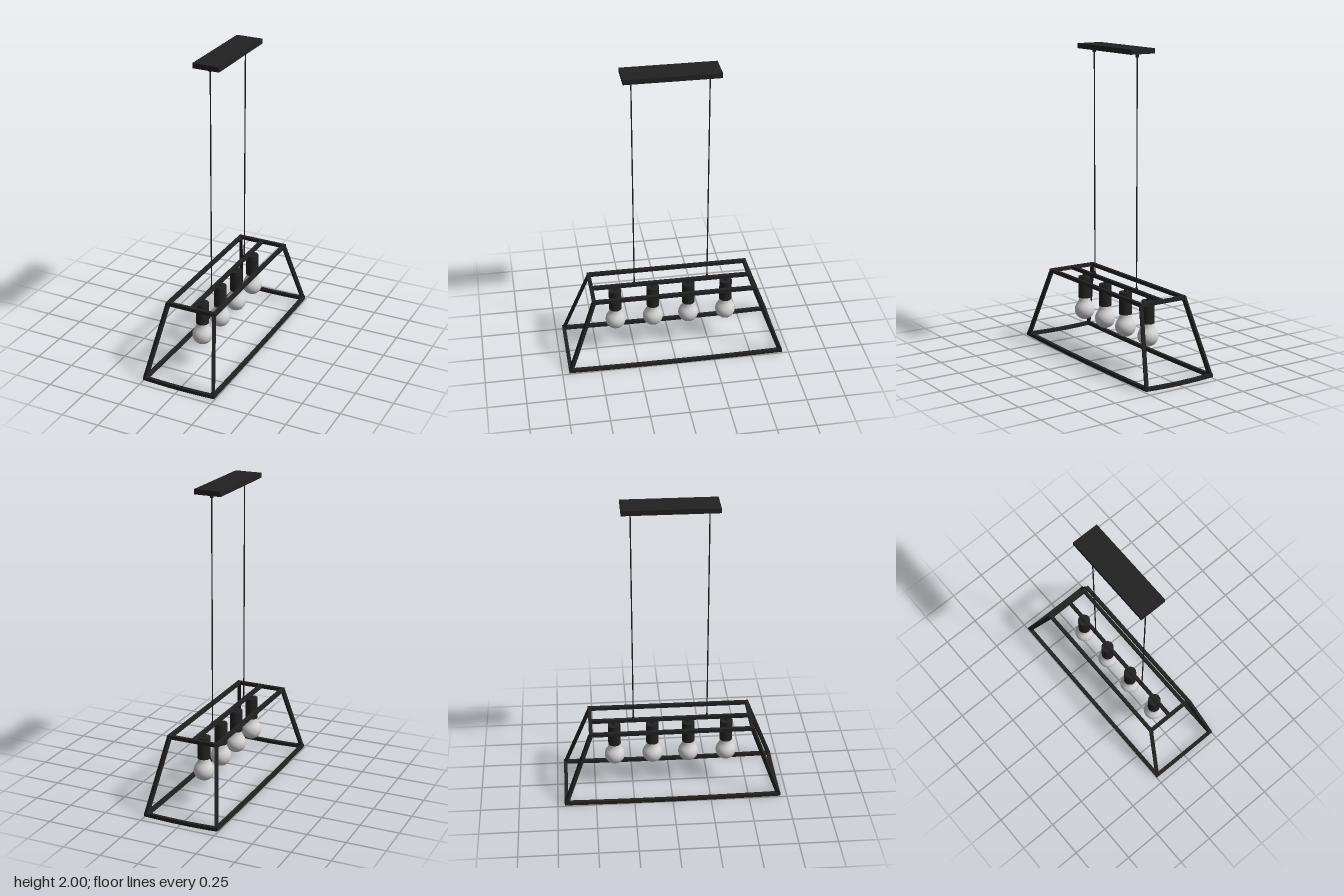
import * as THREE from 'three';

export function createModel() {
  const root = new THREE.Group();
  const black = new THREE.MeshStandardMaterial({ color: 0x222222 });
  black.name = 'matte black metal';
  const glass = new THREE.MeshStandardMaterial({ color: 0xd4d4d4 });
  glass.name = 'pale bulb glass';

  const add = (parent, name, geometry, material, x = 0, y = 0, z = 0) => {
    const mesh = new THREE.Mesh(geometry, material);
    mesh.name = name;
    mesh.position.set(x, y, z);
    parent.add(mesh);
    return mesh;
  };

  // Square bar between two points, optionally sagging slightly at mid-span
  const T = 0.023;
  const bar = (parent, name, a, b, extend = 0, sag = 0) => {
    const p = new THREE.Vector3(...a), q = new THREE.Vector3(...b);
    const length = p.distanceTo(q) + extend;
    const geometry = new THREE.BoxGeometry(T, T, length, 1, 1, sag ? 8 : 1);
    const pos = geometry.attributes.position;
    for (let i = 0; i < pos.count; i++) {
      const t = pos.getZ(i) / length * 2;
      pos.setY(i, pos.getY(i) - sag * (1 - t * t));
    }
    geometry.computeVertexNormals();
    const mesh = add(parent, name, geometry, black);
    mesh.position.copy(p).add(q).multiplyScalar(0.5);
    mesh.lookAt(q);
  };

  // Tapered open frame
  const frame = new THREE.Group();
  frame.name = 'frame';
  root.add(frame);
  const top = { x: 0.16, y: 0.484, z: 0.521 };
  const base = { x: 0.238, y: 0.0185, z: 0.694 };
  for (const s of [-1, 1]) {
    for (const [name, r, sag] of [['top', top, 0], ['base', base, 0.007]]) {
      bar(frame, name + 'SideBar', [s * r.x, r.y, -r.z], [s * r.x, r.y, r.z], T, sag);
      bar(frame, name + 'EndBar', [-r.x, r.y, s * r.z], [r.x, r.y, s * r.z], T, sag);
    }
    for (const e of [-1, 1])
      bar(frame, 'cornerPost', [s * top.x, top.y, e * top.z], [s * base.x, base.y, e * base.z]);
  }
  bar(frame, 'centreBar', [0, top.y, -top.z], [0, top.y, top.z]);

  // Ceiling plate
  add(root, 'ceilingPlate', new THREE.BoxGeometry(0.175, 0.032, 0.6), black, 0, 1.984, 0);

  // Suspension cables with their end fittings
  for (const z of [-0.24, 0.24]) {
    add(root, 'cable', new THREE.CylinderGeometry(0.004, 0.004, 1.48, 10), black, 0, 1.235, z);
    add(root, 'upperCableGrip', new THREE.CylinderGeometry(0.011, 0.011, 0.026, 16), black, 0, 1.957, z);
    add(root, 'lowerCableGrip', new THREE.CylinderGeometry(0.004, 0.011, 0.024, 16), black, 0, 0.505, z);
  }

  // Bulb profile from the bottom tip up to the neck, centred on the globe
  const R = 0.066;
  const profile = [];
  for (let i = 0; i <= 16; i++) {
    const a = -Math.PI / 2 + (i / 16) * (Math.PI / 2 + 0.6);
    profile.push(new THREE.Vector2(Math.max(0, R * Math.cos(a)), R * Math.sin(a)));
  }
  profile.push(new THREE.Vector2(0.045, 0.053), new THREE.Vector2(0.039, 0.067), new THREE.Vector2(0.037, 0.09));
  const bulbGeometry = new THREE.LatheGeometry(profile, 32);

  // Four lamp holders hanging from the centre bar
  for (const z of [-0.366, -0.117, 0.119, 0.368]) {
    const lamp = new THREE.Group();
    lamp.name = 'lamp';
    lamp.position.z = z;
    root.add(lamp);
    add(lamp, 'stem', new THREE.CylinderGeometry(0.01, 0.01, 0.032, 16), black, 0, 0.464, 0);
    add(lamp, 'socket', new THREE.CylinderGeometry(0.041, 0.041, 0.143, 32), black, 0, 0.383, 0);
    add(lamp, 'bulb', bulbGeometry, glass, 0, 0.228, 0);
  }
  return root;
}
